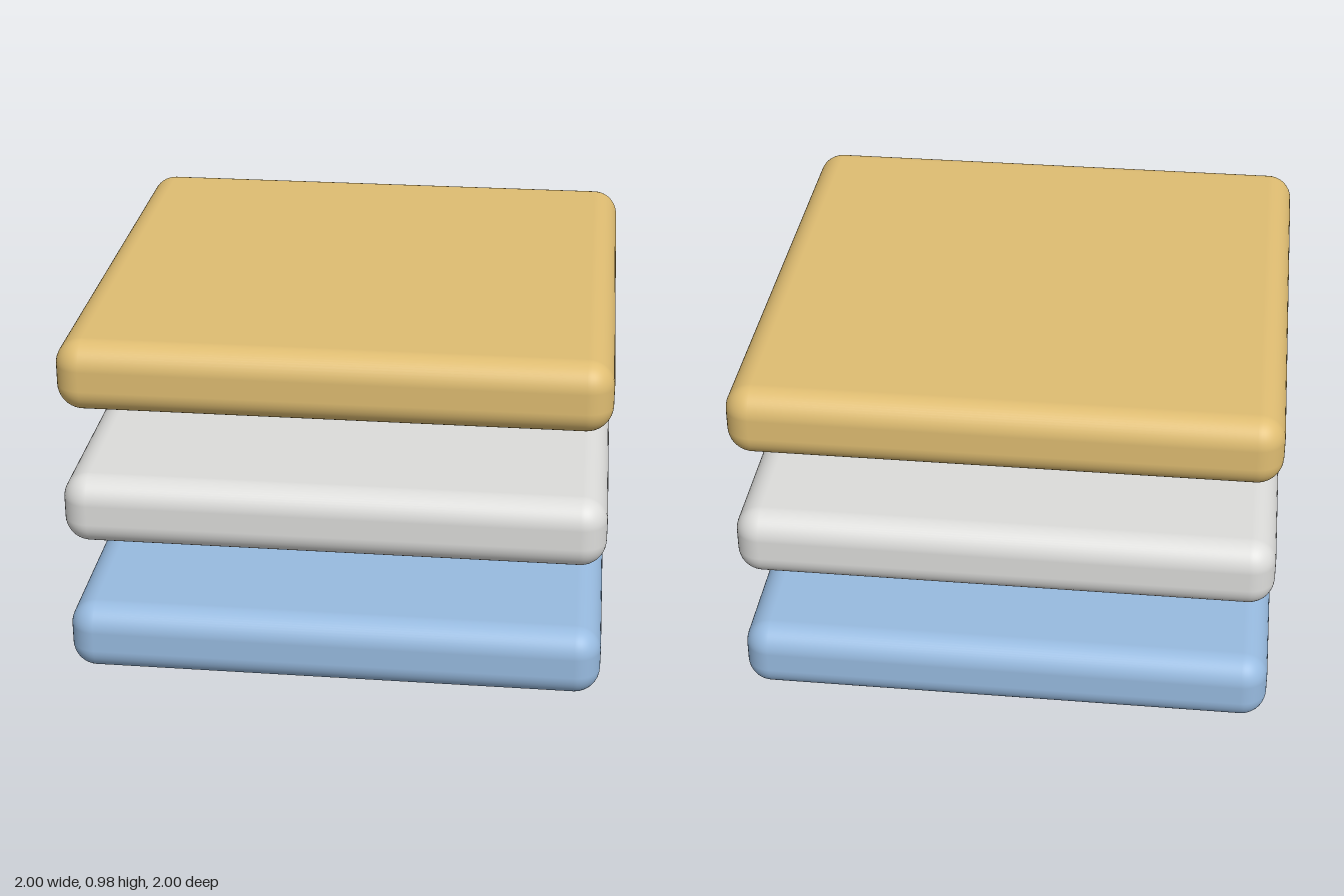
import * as THREE from 'three';
import { RoundedBoxGeometry } from 'three/addons/geometries/RoundedBoxGeometry.js';
import { mergeVertices } from 'three/addons/utils/BufferGeometryUtils.js';

const THICK = 0.195, PITCH = 0.39, RADIUS = 0.07;
// plate side chosen so the rounded diagonal measures 2
const SIDE = 2 * ((1 - RADIUS) / Math.SQRT2 + RADIUS);

const material = (name, color) => {
  const m = new THREE.MeshStandardMaterial({ color });
  m.name = name;
  return m;
};

export function createModel() {
  const model = new THREE.Group();
  model.name = 'stackedPlates';

  const add = (name, geometry, mat, y) => {
    const mesh = new THREE.Mesh(geometry, mat);
    mesh.name = name;
    mesh.position.y = y;
    model.add(mesh);
  };

  // Three rounded square plates, turned to a diamond
  const plate = new RoundedBoxGeometry(SIDE, THICK, SIDE, 6, RADIUS).rotateY(Math.PI / 4);
  [
    ['bottomPlate', material('blue', 0x98bbe0)],
    ['middlePlate', material('lightGrey', 0xdcdcda)],
    ['topPlate', material('gold', 0xdfbd72)],
  ].forEach(([name, mat], i) => add(name, plate, mat, THICK / 2 + i * PITCH));

  // Softly shaded posts filling the gaps between plates
  let post = new THREE.CylinderGeometry(0.118, 0.118, PITCH - THICK, 32);
  post.deleteAttribute('uv');
  post.deleteAttribute('normal');
  post = mergeVertices(post);
  post.computeVertexNormals();
  const grey = material('grey', 0x9c9ca4);
  ['lowerPost', 'upperPost'].forEach((name, i) =>
    add(name, post, grey, (THICK + PITCH) / 2 + i * PITCH));

  return model;
}
